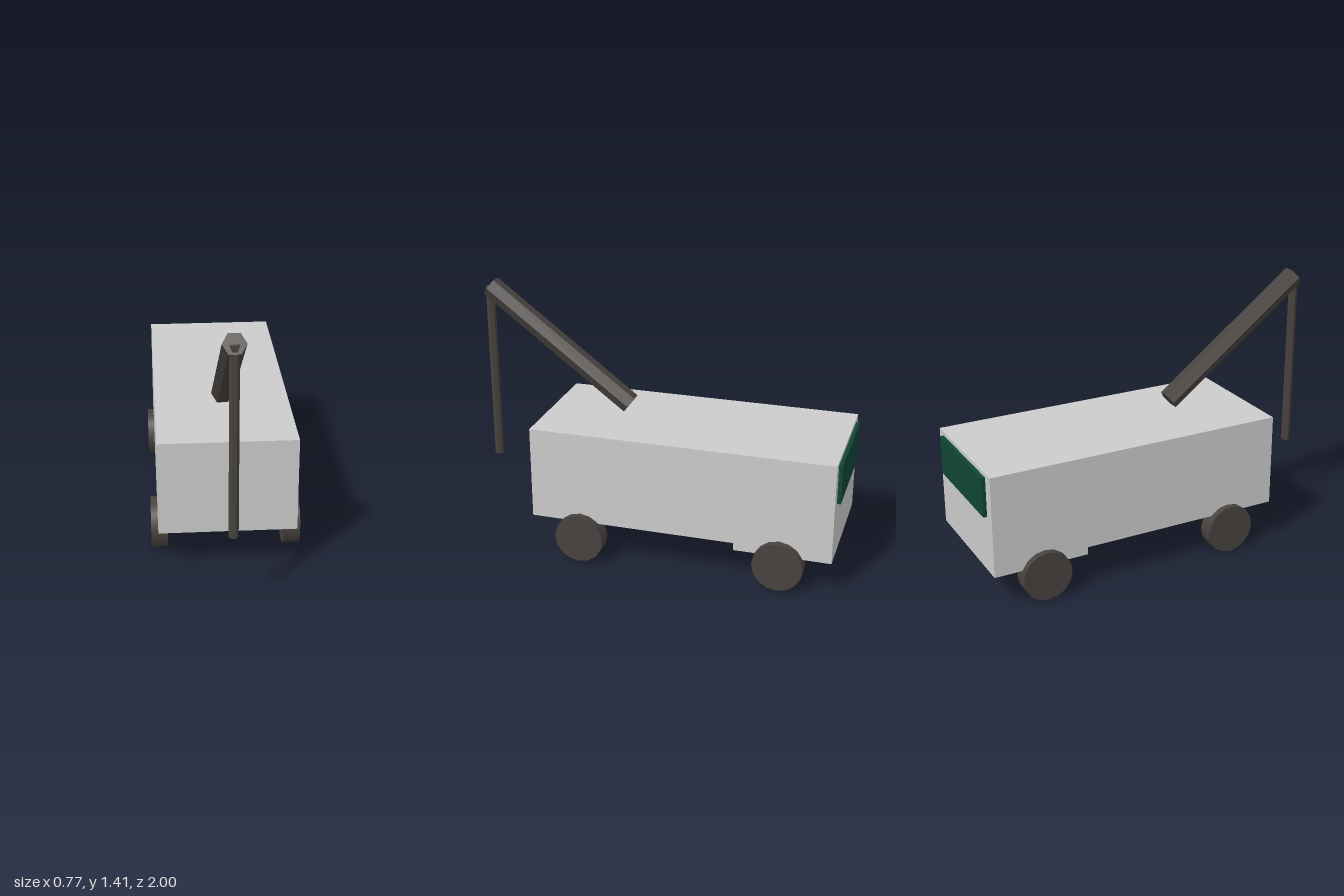
import * as THREE from 'three';

const grey = new THREE.MeshStandardMaterial({ color: 0xcccccc });
const dark = new THREE.MeshStandardMaterial({ color: 0x48433f });
const darkFlat = new THREE.MeshStandardMaterial({ color: 0x48433f, flatShading: true });
const green = new THREE.MeshStandardMaterial({ color: 0x0f4635 });

function add(group, name, geometry, material, x = 0, y = 0, z = 0) {
  const mesh = new THREE.Mesh(geometry, material);
  mesh.name = name;
  mesh.position.set(x, y, z);
  group.add(mesh);
  return mesh;
}

// Hexagonal bar between two points [y, z] on the centre plane, corners at its sides
function addBar(group, name, radius, [y0, z0], [y1, z1]) {
  const geometry = new THREE.CylinderGeometry(radius, radius, Math.hypot(y1 - y0, z1 - z0), 6);
  geometry.rotateY(Math.PI / 2);
  const bar = add(group, name, geometry, darkFlat, 0, (y0 + y1) / 2, (z0 + z1) / 2);
  bar.rotation.x = Math.atan2(z1 - z0, y1 - y0);
}

export function createModel() {
  const model = new THREE.Group();
  model.name = 'craneTruck';

  // Body: side profile in (z, y) with a deeper cab section, extruded across the width
  const profile = new THREE.Shape([
    [0.635, 0.22], [0.635, 0.72], [-0.98, 0.72], [-0.98, 0.18], [-0.47, 0.18], [-0.47, 0.22],
  ].map(([z, y]) => new THREE.Vector2(-z, y)));
  const body = new THREE.ExtrudeGeometry(profile, { depth: 0.7, bevelEnabled: false });
  body.translate(0, 0, -0.35).rotateY(Math.PI / 2);
  add(model, 'body', body, grey);

  // Window panel on the cab end
  add(model, 'window', new THREE.BoxGeometry(0.58, 0.21, 0.04), green, 0, 0.595, -0.98);

  // Wheels
  const wheel = new THREE.CylinderGeometry(0.133, 0.133, 0.085, 16).rotateZ(Math.PI / 2);
  for (const [end, z] of [['front', 0.365], ['rear', -0.708]]) {
    for (const [side, x] of [['Left', 0.3425], ['Right', -0.3425]]) {
      add(model, `${end}${side}Wheel`, wheel, dark, x, 0.133, z);
    }
  }

  // Crane boom and hanging cable
  addBar(model, 'boom', 0.057, [0.782, 0.192], [1.37, 0.972]);
  addBar(model, 'cable', 0.024, [0.395, 0.975], [1.367, 0.975]);

  return model;
}
